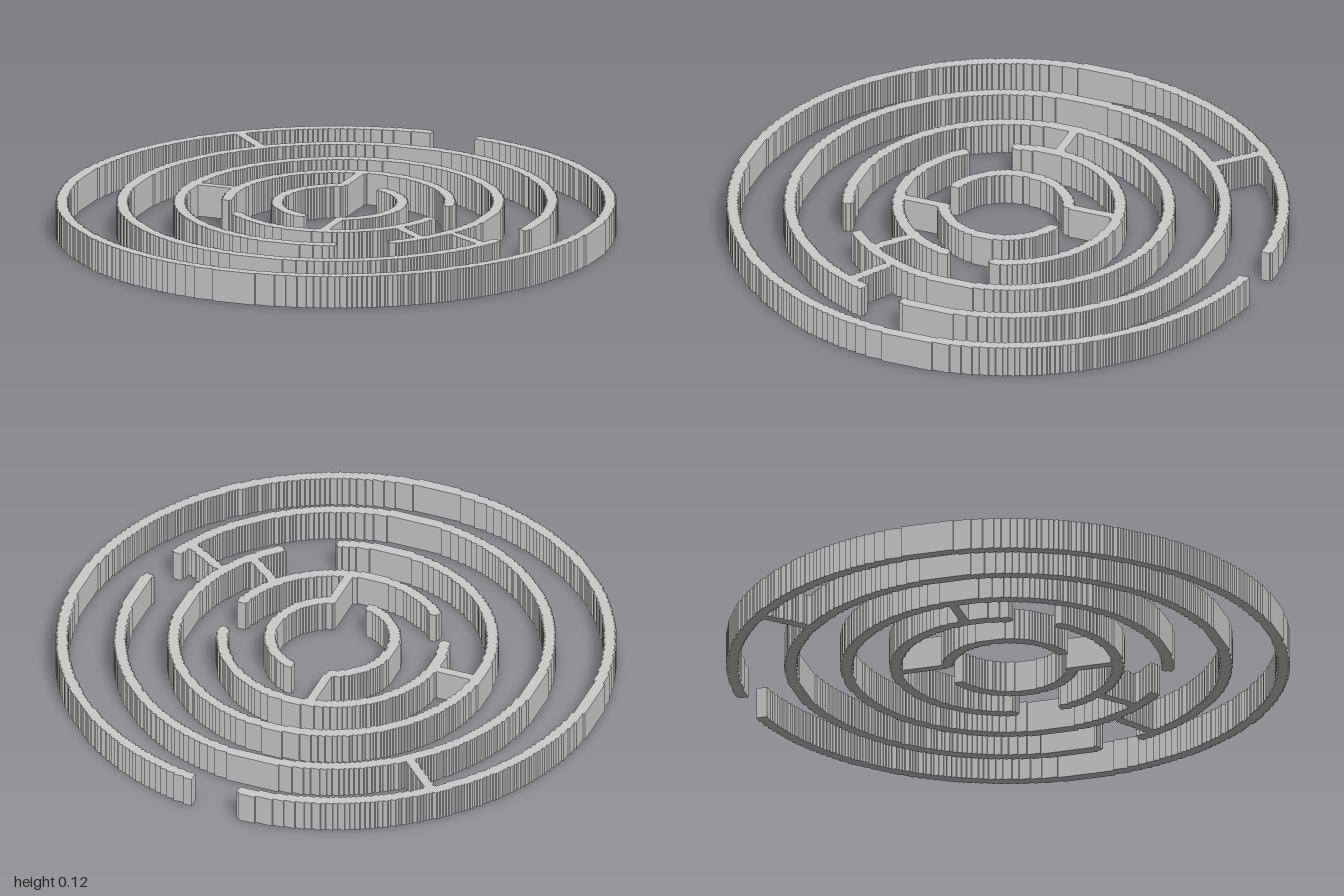
import * as THREE from 'three';

const HEIGHT = 0.116;
const HALF = 0.0195; // half the wall thickness
const CELL = 0.008; // size of the square steps along every wall
const material = new THREE.MeshStandardMaterial({ color: 0xcccccc, flatShading: true });

// Curved walls: centre x/z, mid-line radii in x/z, start and end angle
// (degrees, counter-clockwise seen from above, 90 = back)
const RINGS = [
  ['outerWall', 0, 0, 0.973, 0.98, 90.95, 440.7],
  ['secondWall', 0.004, 0, 0.762, 0.775, -8.6, 340],
  ['thirdWall', 0.009, -0.006, 0.566, 0.572, -50.3, 290.8],
  ['fourthWallBack', 0.007, -0.007, 0.395, 0.395, 11.2, 199.8],
  ['fourthWallFront', 0.007, -0.007, 0.395, 0.395, -137.1, -11.6],
  ['innerWallLeft', 0.014, 0.001, 0.222, 0.222, -72, 73],
  ['innerWallRight', 0.014, 0.001, 0.222, 0.222, 106, 258.3],
];

// Straight walls joining neighbouring rings: x1, z1, x2, z2
const SPOKES = [
  [-0.647, -0.712, -0.514, -0.579],
  [-0.551, -0.041, -0.391, -0.041],
  [-0.056, -0.393, -0.056, -0.212],
  [0.096, 0.214, 0.096, 0.374],
  [0.331, 0.236, 0.453, 0.337],
  [0.544, 0.241, 0.677, 0.326],
];

// Closed outline of an arc-shaped band with softened ends
function bandOutline(cx, cz, rx, rz, startDeg, endDeg) {
  const a0 = THREE.MathUtils.degToRad(startDeg);
  const a1 = THREE.MathUtils.degToRad(endDeg);
  const n = Math.ceil((a1 - a0) * 48);
  const soft = 0.008 / rx;
  const stations = [[a0, HALF * 0.55]];
  for (let i = 0; i <= n; i++) {
    stations.push([a0 + soft + ((a1 - a0 - 2 * soft) * i) / n, HALF]);
  }
  stations.push([a1, HALF * 0.55]);
  const point = (a, offset) =>
    new THREE.Vector2(cx + (rx + offset) * Math.cos(a), -cz + (rz + offset) * Math.sin(a));
  const outer = stations.map(([a, w]) => point(a, w));
  const inner = stations.map(([a, w]) => point(a, -w)).reverse();
  return [...outer, ...inner];
}

// Closed outline of a straight bar
function barOutline(x1, z1, x2, z2) {
  const a = new THREE.Vector2(x1, -z1);
  const b = new THREE.Vector2(x2, -z2);
  const side = b.clone().sub(a).normalize().rotateAround(new THREE.Vector2(), Math.PI / 2);
  side.multiplyScalar(HALF * 0.92);
  return [a.clone().sub(side), b.clone().sub(side), b.clone().add(side), a.clone().add(side)];
}

// Turns an outline into axis-aligned steps on a square grid
function staircase(outline) {
  const path = [];
  const add = (x, y) => {
    const [b, a] = [path.at(-1), path.at(-2)];
    if (b && b.x === x && b.y === y) return;
    // Merge straight runs
    if (a && ((a.x === b.x && b.x === x) || (a.y === b.y && b.y === y))) path.pop();
    path.push(new THREE.Vector2(x, y));
  };
  outline.forEach((p, i) => {
    const q = outline[(i + 1) % outline.length];
    const steps = Math.ceil((p.distanceTo(q) / CELL) * 4);
    for (let k = 0; k <= steps; k++) {
      const s = p.clone().lerp(q, k / steps).divideScalar(CELL).round();
      if (path.length) add(s.x, path.at(-1).y);
      add(s.x, s.y);
    }
  });
  path.pop(); // the last point repeats the first
  return path.map((p) => p.multiplyScalar(CELL));
}

function makeWall(name, outline) {
  const shape = new THREE.Shape(staircase(outline));
  const geometry = new THREE.ExtrudeGeometry(shape, { depth: HEIGHT, bevelEnabled: false });
  geometry.rotateX(-Math.PI / 2);
  const wall = new THREE.Mesh(geometry, material);
  wall.name = name;
  return wall;
}

export function createModel() {
  const maze = new THREE.Group();
  maze.name = 'circularMaze';

  // Concentric curved walls
  for (const [name, ...ring] of RINGS) maze.add(makeWall(name, bandOutline(...ring)));

  // Straight connecting walls
  SPOKES.forEach((spoke, i) => maze.add(makeWall(`connectingWall${i + 1}`, barOutline(...spoke))));

  return maze;
}
